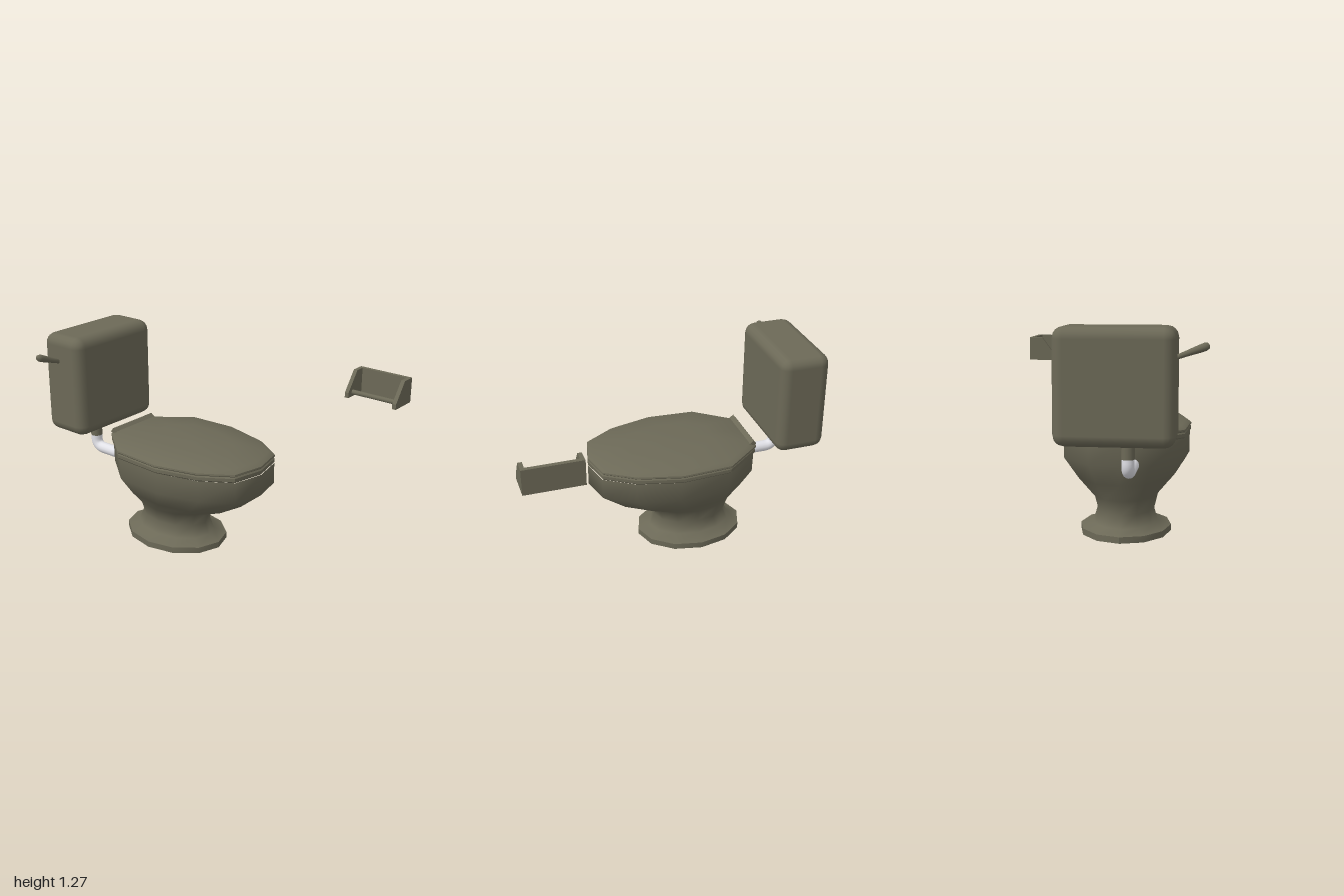
import * as THREE from 'three';
import { toCreasedNormals } from 'three/addons/utils/BufferGeometryUtils.js';
import { RoundedBoxGeometry } from 'three/addons/geometries/RoundedBoxGeometry.js';

const CX = -0.125; // centre line of the bowl
const N = 12;

// half outline of the seat in unit size, from front to back
const HALF = [[0, 1], [0.51, 0.915], [0.82, 0.56], [1, 0.05], [0.95, -0.56], [0.47, -1], [0, -1]];

function outline(k) {
  return k <= 6 ? HALF[k] : [-HALF[N - k][0], HALF[N - k][1]];
}

// skin over rings [y, halfWidth, zFront, zBack, mix]; mix 0 = ellipse, 1 = seat outline
function loft(rings, capStart, capEnd, crease) {
  const pos = [], idx = [];
  for (const [y, hx, zf, zb, mix] of rings) {
    for (let k = 0; k < N; k++) {
      const a = (k / N) * Math.PI * 2, [ox, oz] = outline(k);
      const ux = THREE.MathUtils.lerp(Math.sin(a), ox, mix);
      const uz = THREE.MathUtils.lerp(Math.cos(a), oz, mix);
      pos.push(CX + hx * ux, y, (zf + zb) / 2 + ((zf - zb) / 2) * uz);
    }
  }
  for (let j = 0; j < rings.length - 1; j++) {
    for (let k = 0; k < N; k++) {
      const a = j * N + k, b = j * N + (k + 1) % N;
      idx.push(a, b, b + N, a, b + N, a + N);
    }
  }
  const cap = (j, flip) => {
    const [y, , zf, zb] = rings[j], c = pos.length / 3;
    pos.push(CX, y, (zf + zb) / 2);
    for (let k = 0; k < N; k++) {
      const a = j * N + k, b = j * N + (k + 1) % N;
      if (flip) idx.push(c, b, a); else idx.push(c, a, b);
    }
  };
  if (capStart) cap(0, true);
  if (capEnd) cap(rings.length - 1, false);
  const geo = new THREE.BufferGeometry();
  geo.setAttribute('position', new THREE.Float32BufferAttribute(pos, 3));
  geo.setIndex(idx);
  geo.computeVertexNormals();
  return crease ? toCreasedNormals(geo, crease) : geo;
}

export function createModel() {
  const model = new THREE.Group();
  const olive = new THREE.MeshStandardMaterial({ color: 0x6c6957 });
  olive.name = 'olive';
  const white = new THREE.MeshStandardMaterial({ color: 0xe4e4ea });
  white.name = 'pipeWhite';

  const add = (name, geo, mat = olive, parent = model) => {
    const mesh = new THREE.Mesh(geo, mat);
    mesh.name = name;
    parent.add(mesh);
    return mesh;
  };

  // foot rim, hollow underneath
  add('foot', loft([
    [0.2, 0.14, 0.0, -0.4, 0], [0.1, 0.15, 0.01, -0.41, 0], [0, 0.21, 0.08, -0.48, 0],
    [0, 0.275, 0.145, -0.55, 0], [0.038, 0.275, 0.145, -0.55, 0],
  ], true, false, 0.6));

  // pedestal flowing into the bowl
  add('bowl', loft([
    [0.038, 0.275, 0.145, -0.55, 0], [0.065, 0.195, 0.065, -0.475, 0],
    [0.14, 0.173, 0.035, -0.442, 0], [0.23, 0.195, 0.07, -0.475, 0.1],
    [0.335, 0.295, 0.315, -0.52, 0.6], [0.46, 0.375, 0.467, -0.57, 1],
    [0.593, 0.375, 0.467, -0.575, 1],
  ], false, false, 0));

  add('seat', loft([
    [0.593, 0.376, 0.462, -0.58, 1], [0.6, 0.382, 0.467, -0.585, 1],
    [0.62, 0.382, 0.467, -0.585, 1], [0.629, 0.376, 0.46, -0.58, 1],
  ], true, true, 0.5));

  // lid with a shallow dome
  add('lid', loft([
    [0.629, 0.38, 0.46, -0.585, 1], [0.635, 0.385, 0.468, -0.59, 1],
    [0.645, 0.383, 0.466, -0.59, 1], [0.664, 0.355, 0.43, -0.555, 1],
    [0.687, 0.19, 0.21, -0.33, 1], [0.697, 0.05, 0.03, -0.1, 1],
  ], true, true, 0.6));

  const hinge = add('lidHinge', new THREE.BoxGeometry(0.36, 0.03, 0.055));
  hinge.position.set(CX, 0.655, -0.56);
  hinge.rotation.x = 0.65;

  // cistern
  add('tank', new RoundedBoxGeometry(0.66, 0.64, 0.32, 2, 0.065)).position.set(-0.14, 0.952, -0.84);

  // flush handle, thicker at the free end
  const lever = [[0, 0], [0.013, 0], [0.016, 0.06], [0.022, 0.14], [0.023, 0.17], [0.016, 0.19], [0, 0.195]];
  const handle = add('flushHandle', new THREE.LatheGeometry(lever.map(([r, y]) => new THREE.Vector2(r, y)), 10));
  handle.position.set(-0.455, 1.105, -0.865);
  handle.rotation.z = 1.21;

  // white elbow pipe and its coupling under the tank
  const PX = -0.205, path = new THREE.CurvePath();
  const v = (y, z) => new THREE.Vector3(PX, y, z);
  path.add(new THREE.LineCurve3(v(0.468, -0.54), v(0.468, -0.76)));
  path.add(new THREE.QuadraticBezierCurve3(v(0.468, -0.76), v(0.468, -0.828), v(0.53, -0.828)));
  path.add(new THREE.LineCurve3(v(0.53, -0.828), v(0.555, -0.828)));
  add('elbowPipe', new THREE.TubeGeometry(path, 28, 0.036, 14), white);
  add('pipeCoupling', new THREE.CylinderGeometry(0.037, 0.037, 0.1, 14)).position.set(PX, 0.6, -0.828);

  // paper holder: two cheeks, back plate and roller
  const holder = new THREE.Group();
  holder.name = 'paperHolder';
  model.add(holder);
  const cheek = new THREE.Shape([[0.465, 0.955], [0.64, 0.955], [0.64, 1.11], [0.555, 1.11], [0.465, 0.987]]
    .map(([x, y]) => new THREE.Vector2(x, y)));
  for (const z of [0.65, 0.975]) {
    add('holderCheek', new THREE.ExtrudeGeometry(cheek, { depth: 0.025, bevelEnabled: false }), olive, holder)
      .position.z = z;
  }
  add('holderBack', new THREE.BoxGeometry(0.025, 0.155, 0.3), olive, holder).position.set(0.6275, 1.0325, 0.825);
  const roller = add('holderRoller', new THREE.CylinderGeometry(0.015, 0.015, 0.3, 10), olive, holder);
  roller.position.set(0.515, 0.982, 0.825);
  roller.rotation.x = Math.PI / 2;

  return model;
}
